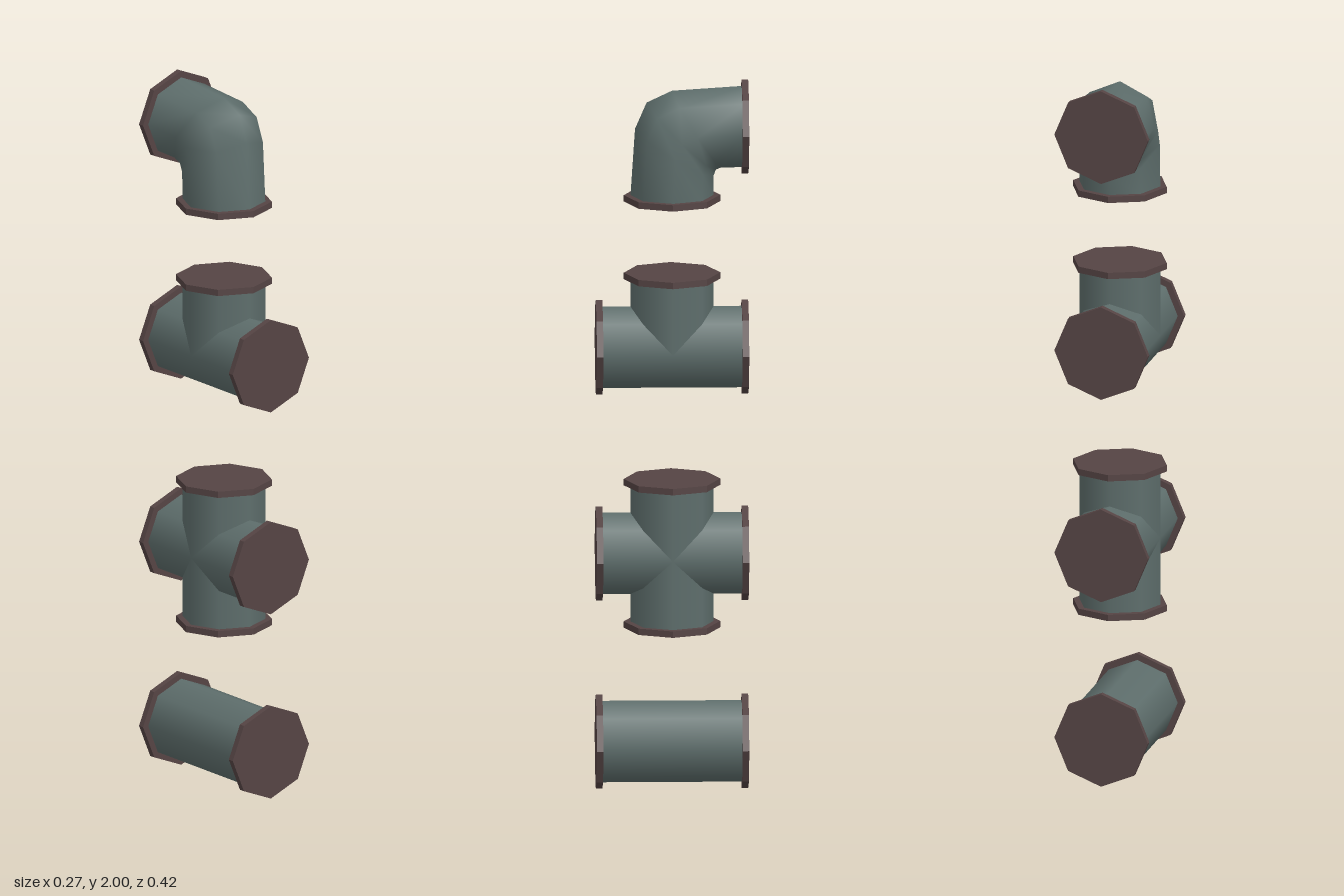
import * as THREE from 'three';

const SIDES = 8;
const PIPE_R = 0.115;
const FLANGE_R = 0.133;
const FLANGE_T = 0.018;
const REACH = 0.21; // centre of a fitting to its flange face

export function createModel() {
  const pipeMat = new THREE.MeshStandardMaterial({ color: 0x5e6e6c });
  pipeMat.name = 'greyGreenPipe';
  const flangeMat = new THREE.MeshStandardMaterial({ color: 0x554444 });
  flangeMat.name = 'brownFlange';
  flangeMat.flatShading = true;

  const model = new THREE.Group();
  model.name = 'pipeFittings';

  function fitting(name, y) {
    const group = new THREE.Group();
    group.name = name;
    group.position.y = y;
    model.add(group);
    return group;
  }

  function addMesh(group, name, geometry, material) {
    const mesh = new THREE.Mesh(geometry, material);
    mesh.name = name;
    group.add(mesh);
  }

  // Octagonal pipe along y or z, between two positions on that axis
  function addPipe(group, axis, from, to) {
    const geo = new THREE.CylinderGeometry(PIPE_R, PIPE_R, to - from, SIDES, 1, true);
    geo.translate(0, (from + to) / 2, 0);
    if (axis === 'z') geo.rotateX(Math.PI / 2);
    addMesh(group, 'pipe', geo, pipeMat);
  }

  // Closed octagonal end plate; sign picks the end of the axis
  function addFlange(group, axis, sign) {
    const geo = new THREE.CylinderGeometry(FLANGE_R, FLANGE_R, FLANGE_T, SIDES);
    geo.translate(0, sign * (REACH - FLANGE_T / 2), 0);
    if (axis === 'z') geo.rotateX(Math.PI / 2);
    addMesh(group, 'flange', geo, flangeMat);
  }

  const end = REACH - FLANGE_T / 2;

  // Straight, cross and tee fittings share a horizontal run
  const straight = fitting('straightPipe', 0.133);
  const cross = fitting('crossPipe', 0.664);
  const tee = fitting('teePipe', 1.246);
  for (const group of [straight, cross, tee]) {
    addPipe(group, 'z', -end, end);
    addFlange(group, 'z', 1);
    addFlange(group, 'z', -1);
  }
  addPipe(cross, 'y', -end, end);
  addFlange(cross, 'y', 1);
  addFlange(cross, 'y', -1);
  addPipe(tee, 'y', 0, end);
  addFlange(tee, 'y', 1);

  // Elbow: octagonal rings, each given as outer [z, y] and inner [z, y]
  const elbow = fitting('elbowPipe', 1.867);
  const rings = [
    [[PIPE_R, -end], [-PIPE_R, -end]],
    [[0.102, -0.005], [-0.115, -0.137]],
    [[0.07, 0.069], [-0.121, -0.121]],
    [[0.0, 0.102], [-0.137, -0.115]],
    [[-end, PIPE_R], [-end, -PIPE_R]],
  ];
  const positions = [];
  const index = [];
  rings.forEach(([outer, inner], i) => {
    for (let j = 0; j < SIDES; j++) {
      const a = (j / SIDES) * Math.PI * 2;
      const t = (1 + Math.cos(a)) / 2;
      positions.push(
        PIPE_R * Math.sin(a),
        THREE.MathUtils.lerp(inner[1], outer[1], t),
        THREE.MathUtils.lerp(inner[0], outer[0], t)
      );
      if (i < rings.length - 1) {
        const p = i * SIDES + j;
        const q = i * SIDES + ((j + 1) % SIDES);
        index.push(p, q, p + SIDES, q, q + SIDES, p + SIDES);
      }
    }
  });
  const bend = new THREE.BufferGeometry();
  bend.setAttribute('position', new THREE.Float32BufferAttribute(positions, 3));
  bend.setIndex(index);
  bend.computeVertexNormals();
  addMesh(elbow, 'bend', bend, pipeMat);
  addFlange(elbow, 'y', -1);
  addFlange(elbow, 'z', -1);

  return model;
}
